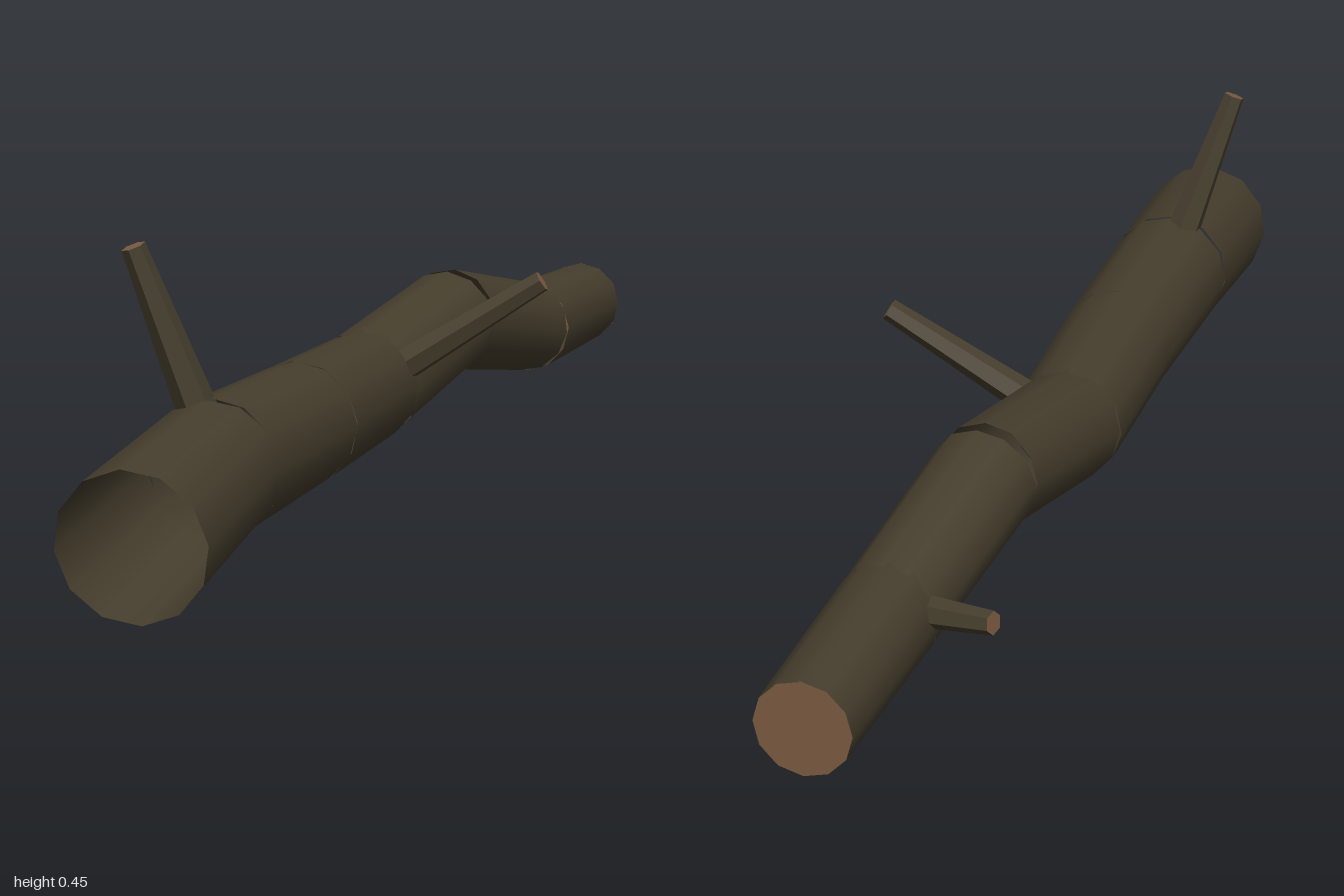
import * as THREE from 'three';

const UP = new THREE.Vector3(0, 1, 0);

export function createModel() {
  const group = new THREE.Group();
  group.name = 'fallenLog';

  const bark = new THREE.MeshStandardMaterial({ color: 0x463e2d, side: THREE.DoubleSide });
  bark.name = 'bark';
  const wood = new THREE.MeshStandardMaterial({ color: 0x7a5a40, side: THREE.DoubleSide });
  wood.name = 'cutWood';

  // Tapered cylinder running from point a to point b
  function limb(name, a, b, ra, rb, sides, open, materials, flat) {
    const from = new THREE.Vector3(...a), to = new THREE.Vector3(...b);
    const dir = to.clone().sub(from);
    let geo = new THREE.CylinderGeometry(rb, ra, dir.length(), sides, 1, open);
    if (flat) {
      const groups = geo.groups;
      geo = geo.toNonIndexed();
      geo.computeVertexNormals();
      geo.groups = groups;
    }
    const mesh = new THREE.Mesh(geo, materials);
    mesh.name = name;
    mesh.position.copy(from).add(to).multiplyScalar(0.5);
    mesh.quaternion.setFromUnitVectors(UP, dir.normalize());
    group.add(mesh);
    return mesh;
  }

  // Trunk joints from the open front end to the capped back end: x, y, z, radius
  const joints = [
    [-0.01, 0.106, 0.99, 0.105],
    [-0.04, 0.145, 0.657, 0.097],
    [-0.053, 0.148, 0.325, 0.091],
    [-0.076, 0.148, -0.005, 0.086],
    [-0.06, 0.203, -0.335, 0.081],
    [-0.037, 0.144, -0.664, 0.075],
    [-0.046, 0.139, -0.998, 0.069],
  ];
  for (let i = 0; i < joints.length - 1; i++) {
    const a = joints[i], b = joints[i + 1];
    limb(`trunkSegment${i + 1}`, a.slice(0, 3), b.slice(0, 3), a[3], b[3], 12, true, bark, false);
  }

  // Cut face closing the back end
  const end = joints[6];
  const cap = new THREE.Mesh(new THREE.CircleGeometry(end[3], 12), wood);
  cap.name = 'backCutFace';
  cap.position.set(end[0], end[1], end[2]);
  cap.rotation.y = Math.PI;
  group.add(cap);

  // Broken branches with cut tips: base, tip, base radius, tip radius
  const branches = [
    ['frontBranch', [-0.06, 0.213, 0.655], [-0.132, 0.451, 0.709], 0.029, 0.017],
    ['middleBranch', [-0.014, 0.182, -0.003], [0.195, 0.318, -0.045], 0.026, 0.017],
    ['backBranch', [-0.09, 0.158, -0.672], [-0.203, 0.174, -0.705], 0.024, 0.017],
  ];
  for (const [name, base, tip, rb, rt] of branches) {
    limb(name, base, tip, rb, rt, 6, false, [bark, wood, bark], true);
  }

  return group;
}
